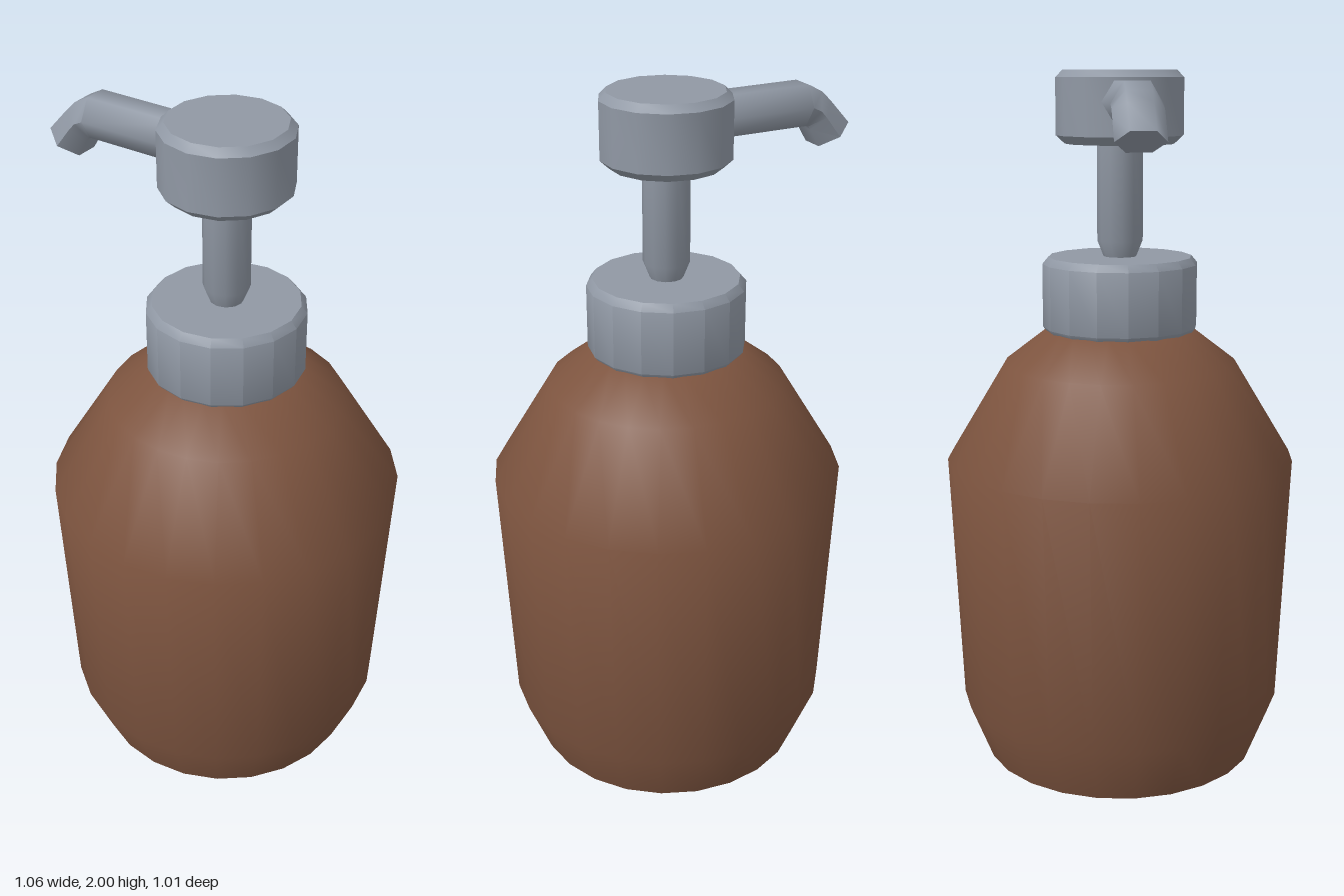
import * as THREE from 'three';
import { toCreasedNormals } from 'three/addons/utils/BufferGeometryUtils.js';

const brown = new THREE.MeshStandardMaterial({ name: 'brown plastic', color: 0x7d543f });
const grey = new THREE.MeshStandardMaterial({ name: 'grey pump', color: 0x9098a4 });

const AXIS_X = 0.023; // the bottle axis, offset to balance the spout

// Closed turned part from a bottom-to-top list of [radius, y]
function turned(name, profile, sides, material) {
  const points = [[0, profile[0][1]], ...profile, [0, profile[profile.length - 1][1]]]
    .map(([r, y]) => new THREE.Vector2(r, y));
  const mesh = new THREE.Mesh(toCreasedNormals(new THREE.LatheGeometry(points, sides), 0.7), material);
  mesh.name = name;
  mesh.position.x = AXIS_X;
  return mesh;
}

// Hexagonal tube lofted through [topX, topY, bottomX, bottomY] sections, with an end cap
function spoutGeometry(sections, radius) {
  const sides = 6;
  const positions = [];
  const index = [];
  for (const [tx, ty, bx, by] of sections) {
    for (let j = 0; j < sides; j++) {
      const a = (j / sides) * Math.PI * 2;
      const t = 0.5 + Math.sin(a) / Math.sqrt(3);
      positions.push(bx + (tx - bx) * t, by + (ty - by) * t, radius * Math.cos(a));
    }
  }
  for (let i = 0; i < sections.length - 1; i++) {
    for (let j = 0; j < sides; j++) {
      const a = i * sides + j;
      const b = i * sides + (j + 1) % sides;
      index.push(a, b, a + sides, b, b + sides, a + sides);
    }
  }
  const last = (sections.length - 1) * sides;
  for (let j = 1; j < sides - 1; j++) index.push(last, last + j, last + j + 1);
  const geometry = new THREE.BufferGeometry();
  geometry.setAttribute('position', new THREE.Float32BufferAttribute(positions, 3));
  geometry.setIndex(index);
  return toCreasedNormals(geometry, 1.1);
}

export function createModel() {
  const model = new THREE.Group();
  model.name = 'soapDispenser';

  // Bottle body with tapered foot and sloping shoulder
  model.add(turned('bottle',
    [[0.405, 0], [0.472, 0.17], [0.504, 0.9], [0.335, 1.18], [0.205, 1.28]], 24, brown));

  // Screw collar
  model.add(turned('collar',
    [[0.21, 1.27], [0.222, 1.285], [0.222, 1.465], [0.205, 1.485]], 16, grey));

  // Plunger stem, chamfered at the foot
  model.add(turned('stem',
    [[0.045, 1.48], [0.065, 1.53], [0.065, 1.82]], 12, grey));

  // Pump head
  model.add(turned('pumpHead',
    [[0.155, 1.8], [0.18, 1.823], [0.18, 1.98], [0.16, 2]], 14, grey));

  // Bent spout
  const spout = new THREE.Mesh(spoutGeometry([
    [-0.08, 1.972, -0.08, 1.86],
    [-0.395, 1.972, -0.39, 1.86],
    [-0.437, 1.95, -0.398, 1.858],
    [-0.466, 1.922, -0.404, 1.848],
    [-0.529, 1.854, -0.434, 1.798],
  ], 0.067), grey);
  spout.name = 'spout';
  model.add(spout);

  return model;
}
